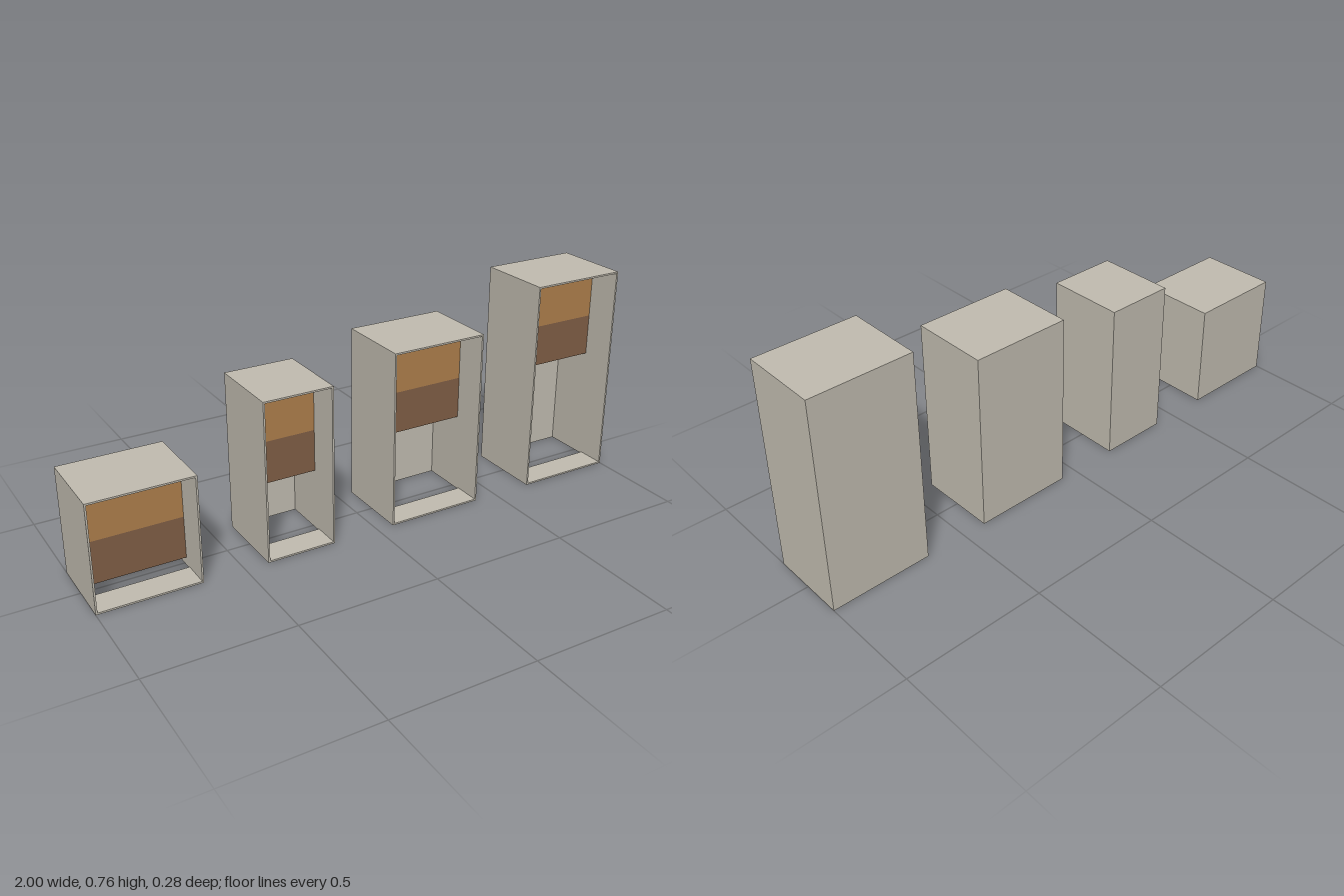
import * as THREE from 'three';

const DEPTH = 0.28, WALL = 0.006, LIP = 0.1;

const shellMat = new THREE.MeshStandardMaterial({ color: 0xc1bcb0 });
const upperMat = new THREE.MeshStandardMaterial({ color: 0xae7f4c });
const lowerMat = new THREE.MeshStandardMaterial({ color: 0x805e45 });

function addBox(group, name, mat, w, h, d, x, y, z) {
  const mesh = new THREE.Mesh(new THREE.BoxGeometry(w, h, d), mat);
  mesh.name = name;
  mesh.position.set(x, y, z);
  group.add(mesh);
}

// One open-fronted cabinet between x0 and x1, with a hanging two-tone panel
function makeCabinet(x0, x1, height) {
  const g = new THREE.Group();
  const w = x1 - x0, inner = w - 2 * WALL;
  g.position.x = (x0 + x1) / 2;

  // Shell: sides, top, back and a shallow floor strip at the front
  for (const s of [-1, 1]) {
    addBox(g, s > 0 ? 'leftWall' : 'rightWall', shellMat,
      WALL, height, DEPTH, s * (w - WALL) / 2, height / 2, 0);
  }
  addBox(g, 'top', shellMat, inner, WALL, DEPTH, 0, height - WALL / 2, 0);
  addBox(g, 'back', shellMat, inner, height - WALL, WALL,
    0, (height - WALL) / 2, -(DEPTH - WALL) / 2);
  addBox(g, 'floorStrip', shellMat, inner, WALL, LIP, 0, WALL / 2, (DEPTH - LIP) / 2);

  // Hanging panel: upper 0.2, lower 0.15
  const split = height - 0.2, panelZ = 0.014;
  addBox(g, 'upperPanel', upperMat, inner, 0.2 - WALL, WALL,
    0, split + (0.2 - WALL) / 2, panelZ);
  addBox(g, 'lowerPanel', lowerMat, inner, 0.15, WALL, 0, split - 0.075, panelZ);
  return g;
}

export function createModel() {
  const model = new THREE.Group();
  model.name = 'cabinetRow';
  const cabinets = [
    [-1, -0.645, 0.38],
    [-0.417, -0.168, 0.57],
    [0.062, 0.415, 0.633],
    [0.645, 1, 0.76],
  ];
  cabinets.forEach(([x0, x1, h], i) => {
    const cabinet = makeCabinet(x0, x1, h);
    cabinet.name = `cabinet${i + 1}`;
    model.add(cabinet);
  });
  return model;
}
